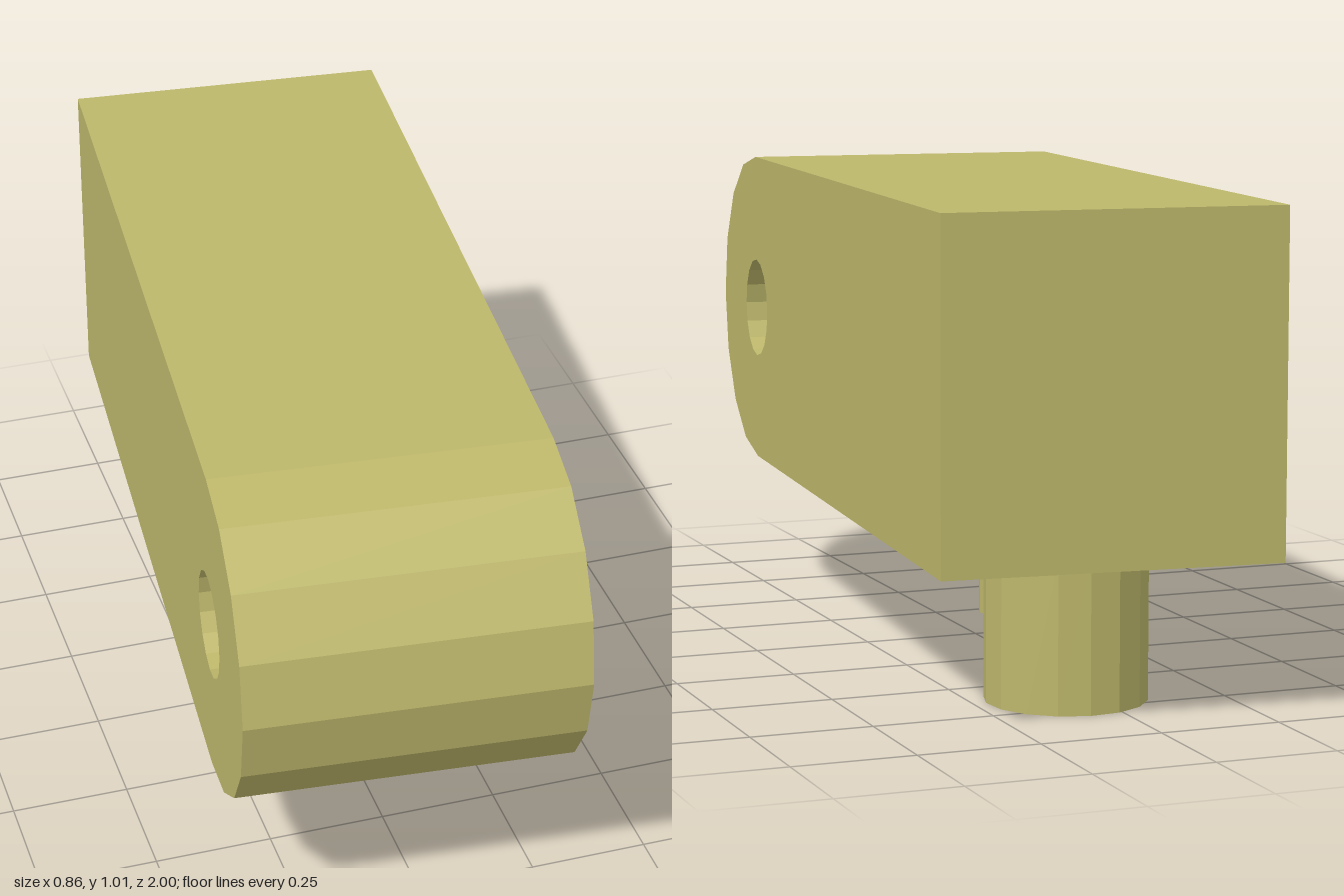
import * as THREE from 'three';

const material = new THREE.MeshStandardMaterial({ color: 0xbdb76b, flatShading: true });

// Points on an arc, including both ends
function arc(cx, cy, r, start, end, steps) {
  return Array.from({ length: steps + 1 }, (_, i) => {
    const a = start + (end - start) * i / steps;
    return new THREE.Vector2(cx + r * Math.cos(a), cy + r * Math.sin(a));
  });
}

export function createModel() {
  const group = new THREE.Group();
  group.name = 'hingeArm';
  const add = (name, geometry) => {
    const mesh = new THREE.Mesh(geometry, material);
    mesh.name = name;
    group.add(mesh);
    return mesh;
  };

  const width = 0.693, radius = 0.3475, midY = 0.6625;
  const back = -0.9735, pivot = 0.626;

  // Arm: side profile with a rounded front and a pivot hole, extruded across x
  const profile = new THREE.Shape([
    new THREE.Vector2(back, midY + radius),
    new THREE.Vector2(back, midY - radius),
    ...arc(pivot, midY, radius, -Math.PI / 2, Math.PI / 2, 8),
  ]);
  profile.holes.push(new THREE.Path(arc(pivot, midY, 0.111, 0, Math.PI * 2, 16).slice(0, 16)));
  const arm = new THREE.ExtrudeGeometry(profile, { depth: width, bevelEnabled: false });
  arm.rotateY(-Math.PI / 2).translate(width / 2, 0, 0);
  add('arm', arm);

  // Pegs under the arm
  const top = midY - radius;
  for (const [name, r, bottom, z] of [
    ['largePeg', 0.166, 0, -0.657],
    ['smallPeg', 0.069, 0.105, -0.276],
  ]) {
    const peg = add(name, new THREE.CylinderGeometry(r, r, top - bottom, 16));
    peg.position.set(0, (top + bottom) / 2, z);
  }

  // The whole arm is turned slightly
  group.rotation.y = THREE.MathUtils.degToRad(-5);
  const root = new THREE.Group();
  root.name = 'model';
  root.add(group);
  return root;
}
